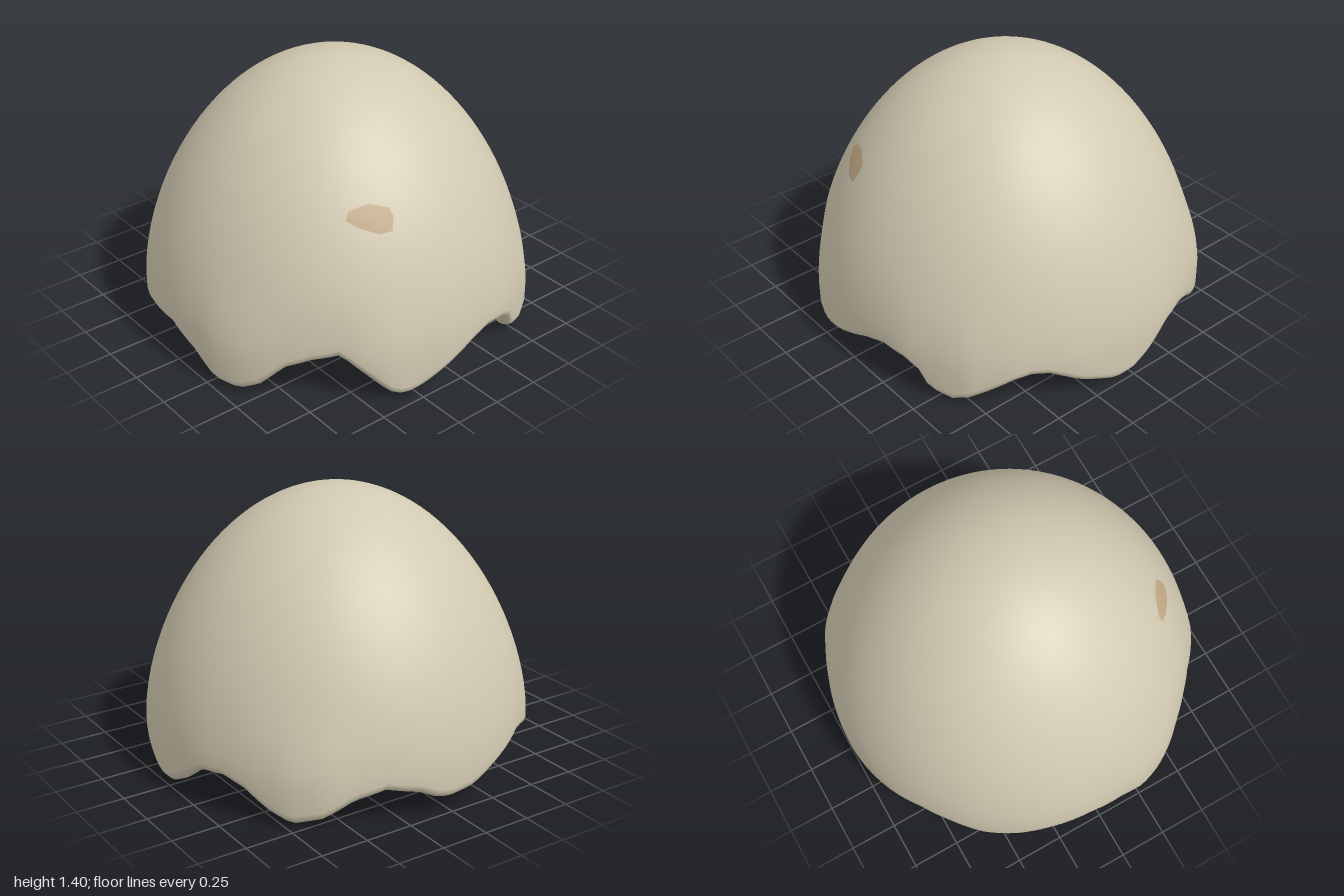
import * as THREE from 'three';

const TOP = 1.4, WIDEST = 0.2, WALL = 0.1, SEGMENTS = 144;

// Broken edge: [degrees from front toward +x, height, radial bulge]
const RIM = [
  [-180, 0.07, 0], [-172, 0.08, 0], [-160, 0.15, 0], [-147, 0.21, -0.005], [-138, 0.18, -0.005],
  [-127, 0.1, 0], [-117, 0.1, 0], [-107, 0.15, 0], [-93, 0.18, 0], [-82, 0.1, 0],
  [-74, 0.02, 0.02], [-66, 0.01, 0.02], [-60, 0.06, 0.01], [-53, 0.17, -0.01], [-45, 0.22, -0.02],
  [-37, 0.25, -0.02], [-30, 0.15, 0], [-23, 0.04, 0.015], [-19, 0.01, 0.01], [-14, 0.02, 0],
  [-6, 0.08, 0], [5, 0.16, -0.01], [12, 0.19, -0.01], [20, 0.17, 0], [25, 0.12, 0],
  [28, 0.03, 0], [35, 0, 0.01], [40, 0.03, 0.02], [46, 0.08, 0.01], [53, 0.15, 0.01],
  [58, 0.17, 0], [63, 0.16, 0], [72, 0.08, 0], [78, 0.045, 0], [84, 0.01, 0],
  [90, 0.02, 0], [96, 0.07, 0], [104, 0.17, 0], [113, 0.18, -0.005], [120, 0.14, 0],
  [127, 0.06, 0.01], [134, 0.01, 0.025], [143, 0.05, 0.03], [151, 0.13, 0.01], [160, 0.17, 0],
  [170, 0.13, 0], [176, 0.08, 0], [180, 0.07, 0],
];

function rimAt(deg) {
  let k = 0;
  while (k < RIM.length - 2 && RIM[k + 1][0] < deg) k++;
  const a = RIM[k], b = RIM[k + 1];
  const t = (deg - a[0]) / (b[0] - a[0]);
  return [THREE.MathUtils.lerp(a[1], b[1], t), THREE.MathUtils.lerp(a[2], b[2], t)];
}

// Egg radius at a height, for the outer wall (inset 0) or the inner wall
function eggRadius(y, inset) {
  const top = TOP - inset;
  const up = THREE.MathUtils.clamp((y - WIDEST) / (top - WIDEST), 0, 1);
  return (1 - inset) * Math.sqrt(1 - Math.pow(up, 1.65));
}

// One wall section: down the outside, round the broken edge, up the inside
function section(deg) {
  const [rim, bulge] = rimAt(deg);
  const lip = WALL / 2, edge = rim + lip;
  const radius = (y, inset) =>
    eggRadius(y, inset) + bulge * (1 - THREE.MathUtils.smoothstep(y, 0.15, 0.6));
  const points = [];
  const wall = (inset, s) => {
    const y = edge + (TOP - inset - edge) * Math.cos(s * Math.PI / 2);
    points.push([s === 0 ? 0 : radius(y, inset), y]);
  };
  for (let j = 0; j <= 30; j++) wall(0, j / 30);
  const middle = (radius(edge, 0) + radius(edge, WALL)) / 2;
  const half = (radius(edge, 0) - radius(edge, WALL)) / 2;
  for (let j = 1; j < 8; j++) {
    const t = j / 8 * Math.PI;
    points.push([middle + half * Math.cos(t), edge - lip * Math.sin(t)]);
  }
  for (let j = 30; j >= 0; j--) wall(WALL, j / 30);
  return points;
}

function makeGeometry(positions, index) {
  const g = new THREE.BufferGeometry();
  g.setAttribute('position', new THREE.Float32BufferAttribute(positions, 3));
  g.setIndex(index);
  g.computeVertexNormals();
  return g;
}

function shellGeometry() {
  const positions = [], index = [];
  let rows = 0;
  for (let i = 0; i < SEGMENTS; i++) {
    const deg = -180 + 360 * i / SEGMENTS, a = THREE.MathUtils.degToRad(deg);
    const points = section(deg);
    rows = points.length;
    for (const [r, y] of points) positions.push(r * Math.sin(a), y, r * Math.cos(a));
  }
  for (let i = 0; i < SEGMENTS; i++) {
    const p = i * rows, q = ((i + 1) % SEGMENTS) * rows;
    for (let j = 0; j < rows - 1; j++) {
      if (j > 0) index.push(p + j, p + j + 1, q + j);
      if (j < rows - 2) index.push(q + j, p + j + 1, q + j + 1);
    }
  }
  return makeGeometry(positions, index);
}

// Irregular spot laid over the curved wall in rings about its middle;
// on the inner wall it shrinks along with the egg
function spotGeometry(inset, lift) {
  const outline = [[-0.445, 0.89], [-0.42, 0.925], [-0.33, 0.95], [-0.245, 0.925],
    [-0.24, 0.89], [-0.265, 0.83], [-0.33, 0.825], [-0.41, 0.86]].reverse();
  const n = outline.length, rings = 4, cx = -0.34, cy = 0.89;
  const shrinkY = (TOP - inset - WIDEST) / (TOP - WIDEST);
  const positions = [], index = [];
  for (let k = 0; k <= rings; k++) {
    for (const [px, py] of outline) {
      const x = (cx + (px - cx) * k / rings) * (1 - inset);
      const y = WIDEST + (cy + (py - cy) * k / rings - WIDEST) * shrinkY;
      const r = eggRadius(y, inset) + lift;
      positions.push(x, y, Math.sqrt(r * r - x * x));
    }
  }
  for (let k = 0; k < rings; k++) {
    for (let i = 0; i < n; i++) {
      const a = k * n + i, b = k * n + (i + 1) % n;
      index.push(a, a + n, b + n);
      if (k > 0) index.push(a, b + n, b);
    }
  }
  return makeGeometry(positions, index);
}

export function createModel() {
  const shellColour = new THREE.MeshStandardMaterial({ color: 0xd2c9b1 });
  shellColour.name = 'eggshell beige';
  const spotColour = new THREE.MeshStandardMaterial({ color: 0xc2a986, side: THREE.DoubleSide });
  spotColour.name = 'tan spot';

  const model = new THREE.Group();
  model.name = 'brokenEggshell';
  const add = (name, geometry, material) => {
    const mesh = new THREE.Mesh(geometry, material);
    mesh.name = name;
    model.add(mesh);
  };
  add('shell', shellGeometry(), shellColour);
  add('outerSpot', spotGeometry(0, 0.003), spotColour);
  add('innerSpot', spotGeometry(WALL, -0.003), spotColour);
  return model;
}
